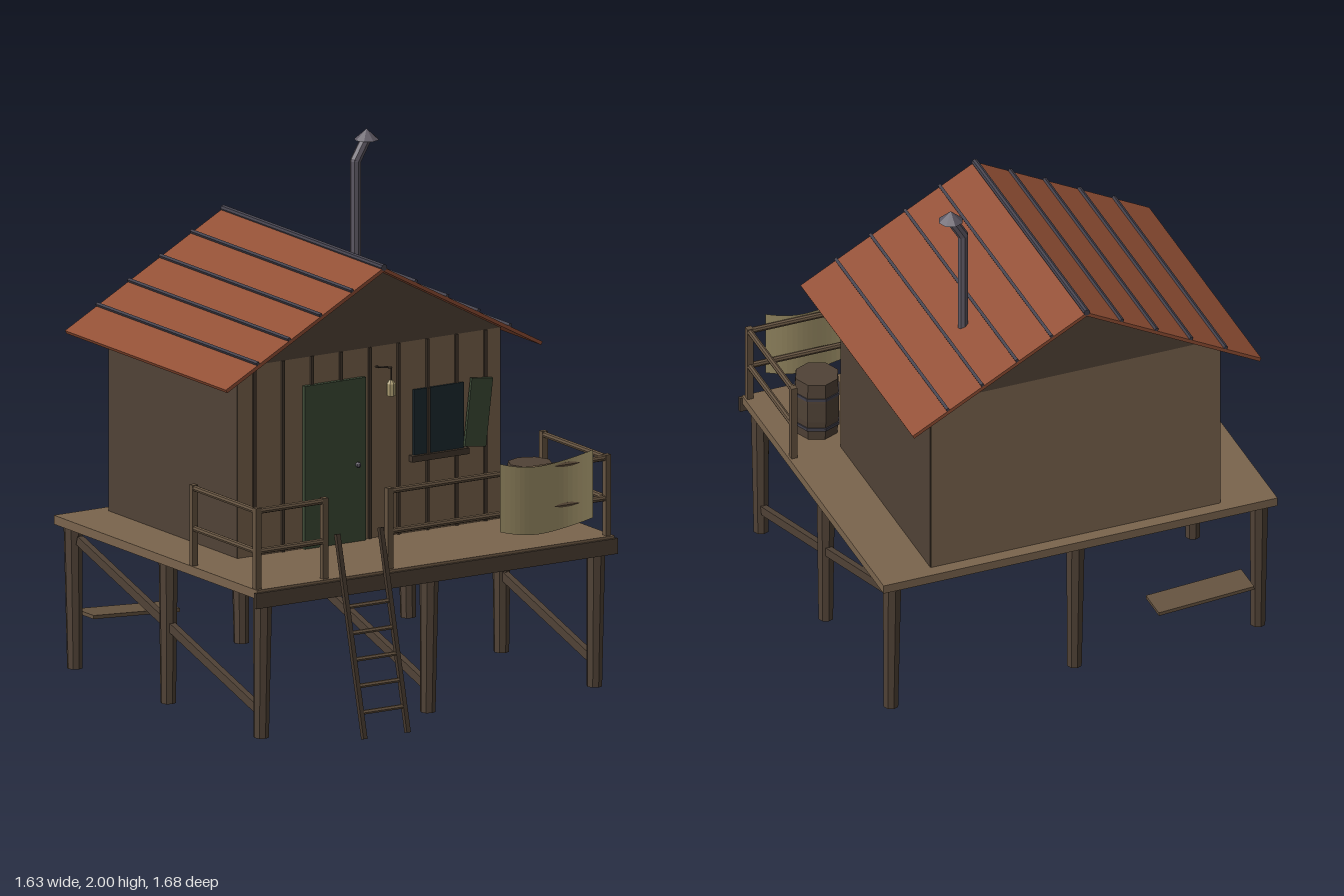
import * as THREE from 'three';

const mat = (name, color, extra = {}) =>
  Object.assign(new THREE.MeshStandardMaterial({ color, flatShading: true, ...extra }), { name });

export function createModel() {
  const model = new THREE.Group();
  model.name = 'stiltCabin';
  const plank = mat('plankWood', 0x7a644d);
  const dark = mat('darkWood', 0x504236);
  const railWood = mat('railWood', 0x655340);
  const batten = mat('battenWood', 0x43372c);
  const rust = mat('rustRoof', 0x924f35);
  const metal = mat('pipeMetal', 0x5c5762);
  const seam = mat('seamMetal', 0x43414c);
  const green = mat('greenPaint', 0x3c4a36);
  const glass = mat('windowGlass', 0x1d2b30);
  const cream = mat('creamCloth', 0xaa9b70, { side: THREE.DoubleSide });

  const V = (x, y, z) => new THREE.Vector3(x, y, z);
  const add = (name, geo, material, x = 0, y = 0, z = 0) => {
    const m = new THREE.Mesh(geo, material);
    m.name = name;
    m.position.set(x, y, z);
    model.add(m);
    return m;
  };
  // Box given by its limits on each axis
  const box = (name, material, x0, x1, y0, y1, z0, z1) =>
    add(name, new THREE.BoxGeometry(x1 - x0, y1 - y0, z1 - z0), material,
      (x0 + x1) / 2, (y0 + y1) / 2, (z0 + z1) / 2);
  // Square bar from a to b
  const bar = (name, material, a, b, w, h) => {
    const c = a.clone().add(b).multiplyScalar(0.5);
    const m = add(name, new THREE.BoxGeometry(w, h, a.distanceTo(b)), material, c.x, c.y, c.z);
    m.lookAt(b);
    return m;
  };
  // Round rod from a to b
  const rod = (name, material, a, b, ra, rb = ra, sides = 8) => {
    const c = a.clone().add(b).multiplyScalar(0.5);
    const m = add(name, new THREE.CylinderGeometry(rb, ra, a.distanceTo(b), sides), material, c.x, c.y, c.z);
    m.quaternion.setFromUnitVectors(V(0, 1, 0), b.clone().sub(a).normalize());
    return m;
  };

  // Deck with front fascia
  box('deck', plank, -0.805, 0.805, 0.555, 0.59, -0.775, 0.645);
  box('deckFascia', dark, -0.815, 0.815, 0.52, 0.58, 0.642, 0.656);

  // Stilts around the edge, leaning slightly, with long diagonal braces
  for (const x of [-0.75, 0, 0.75]) {
    for (const z of [0.6, -0.06, -0.725]) {
      if (x === 0 && z === -0.06) continue;
      const lean = z > 0.1 ? -0.01 : z < -0.1 ? 0.012 : 0;
      rod('stilt', dark, V(x, 0, z + lean), V(x, 0.556, z), 0.03, 0.037);
    }
    bar('brace', dark, V(x, 0.11, 0.56), V(x, 0.505, -0.68), 0.025, 0.035);
  }
  bar('loosePlank', railWood, V(-0.71, 0.206, -0.71), V(-0.32, 0.183, -0.71), 0.13, 0.014);

  // Ladder
  const ladderX = [-0.44, -0.245];
  for (const x of ladderX) bar('ladderRail', batten, V(x, 0, 0.83), V(x, 0.76, 0.64), 0.018, 0.018);
  for (let i = 1; i <= 5; i++) {
    const y = i * 0.098, z = 0.83 - y * 0.25;
    rod('ladderRung', railWood, V(ladderX[0], y, z), V(ladderX[1], y, z), 0.009, 0.009, 6);
  }

  // Railing in two runs, either side of the ladder
  const runs = [
    [[-0.79, 0.18], [-0.79, 0.622], [-0.487, 0.622]],
    [[-0.195, 0.622], [0.785, 0.622], [0.785, 0.18]],
  ];
  for (const run of runs) {
    run.forEach(([x, z], i) => {
      box('railingPost', railWood, x - 0.012, x + 0.012, 0.585, 0.905, z - 0.012, z + 0.012);
      if (!i) return;
      const [px, pz] = run[i - 1];
      for (const y of [0.735, 0.892]) rod('railingRail', railWood, V(px, y, pz), V(x, y, z), 0.012);
    });
  }

  // Cloth hung over the front rail: rippling and sagging in the middle
  const cloth = new THREE.PlaneGeometry(0.42, 0.265, 20, 6);
  const p = cloth.attributes.position;
  for (let i = 0; i < p.count; i++) {
    const x = p.getX(i), u = x / 0.21;
    p.setY(i, p.getY(i) + 0.032 * u * u);
    p.setZ(i, 0.012 * Math.cos((2 * Math.PI * (x + 0.12)) / 0.44));
  }
  cloth.computeVertexNormals();
  add('hangingCloth', cloth, cream, 0.5, 0.772, 0.642);

  // Cabin walls: light front and back, dark sides
  box('frontWall', plank, -0.59, 0.59, 0.59, 1.34, 0.16, 0.18);
  box('backWall', plank, -0.59, 0.59, 0.59, 1.34, -0.725, -0.705);
  for (const s of [-1, 1]) {
    const m = box('sideWall', dark, 0.572, 0.593, 0.59, 1.335, -0.722, 0.178);
    m.position.x *= s;
  }
  // Gable block under the roof
  const tri = new THREE.Shape([[-0.59, 1.335], [0.59, 1.335], [0, 1.652]].map(([x, y]) => new THREE.Vector2(x, y)));
  add('gable', new THREE.ExtrudeGeometry(tri, { depth: 0.911, bevelEnabled: false }), dark, 0, 0, -0.728);

  // Battens on the front wall
  for (let i = -4; i <= 4; i++) {
    const x = i * 0.13;
    box('wallBatten', batten, x - 0.006, x + 0.006, 0.59, 1.335, 0.178, 0.189);
  }

  // Door and knob
  box('door', green, -0.3, -0.025, 0.59, 1.225, 0.178, 0.197);
  add('doorKnob', new THREE.SphereGeometry(0.011, 8, 6), metal, -0.065, 0.89, 0.205);

  // Window with mullion, sill and crooked shutter
  box('windowPane', glass, 0.195, 0.42, 0.89, 1.145, 0.182, 0.191);
  box('windowMullion', batten, 0.254, 0.266, 0.89, 1.145, 0.188, 0.196);
  box('windowSill', batten, 0.18, 0.435, 0.866, 0.89, 0.178, 0.205);
  const shutter = box('shutter', green, 0.432, 0.528, 0.89, 1.155, 0.191, 0.203);
  shutter.rotation.z = -0.12;

  // Roof slopes with standing seams
  const slope = Math.atan2(0.383, 0.713), len = Math.hypot(0.383, 0.713);
  for (const s of [-1, 1]) {
    const half = new THREE.Group();
    half.name = s < 0 ? 'rightRoofHalf' : 'leftRoofHalf';
    half.position.set(0, 1.667, -0.277);
    half.rotation.z = -s * slope;
    const sheet = new THREE.Mesh(new THREE.BoxGeometry(len, 0.014, 1.125), rust);
    sheet.name = 'roofSheet';
    sheet.position.set((s * len) / 2, -0.007, 0);
    half.add(sheet);
    for (let i = 1; i <= 4; i++) {
      const rib = new THREE.Mesh(new THREE.BoxGeometry(0.012, 0.012, 1.125), seam);
      rib.name = 'roofSeam';
      rib.position.set((s * i * 0.1415) / Math.cos(slope), 0.005, 0);
      half.add(rib);
    }
    model.add(half);
  }
  rod('ridgeCap', seam, V(0, 1.667, -0.84), V(0, 1.667, 0.286), 0.013);

  // Stove pipe with bend and cap
  rod('stovePipe', metal, V(0.355, 1.44, -0.467), V(0.355, 1.88, -0.467), 0.021);
  add('pipeElbow', new THREE.SphereGeometry(0.021, 8, 6), metal, 0.355, 1.88, -0.467);
  rod('pipeBend', metal, V(0.355, 1.88, -0.467), V(0.405, 1.965, -0.467), 0.021);
  add('pipeCap', new THREE.ConeGeometry(0.048, 0.042, 8), metal, 0.405, 1.979, -0.467);

  // Lantern hanging from a bracket by the door
  rod('lanternBracket', batten, V(0.03, 1.255, 0.178), V(0.03, 1.275, 0.29), 0.004, 0.004, 5);
  rod('lanternWire', batten, V(0.03, 1.22, 0.287), V(0.03, 1.277, 0.287), 0.003, 0.003, 5);
  rod('lanternGlass', cream, V(0.03, 1.165, 0.287), V(0.03, 1.212, 0.287), 0.018);
  rod('lanternTop', cream, V(0.03, 1.212, 0.287), V(0.03, 1.226, 0.287), 0.018, 0.008);

  // Barrel with hoops
  const barrel = [[0, 0], [0.084, 0], [0.091, 0.08], [0.091, 0.165], [0.086, 0.245], [0, 0.245]];
  add('barrel', new THREE.LatheGeometry(barrel.map(([r, y]) => new THREE.Vector2(r, y)), 8), dark, 0.628, 0.59, 0.33);
  for (const y of [0.638, 0.77]) {
    add('barrelHoop', new THREE.CylinderGeometry(0.094, 0.094, 0.012, 8), seam, 0.628, y, 0.33);
  }

  return model;
}
